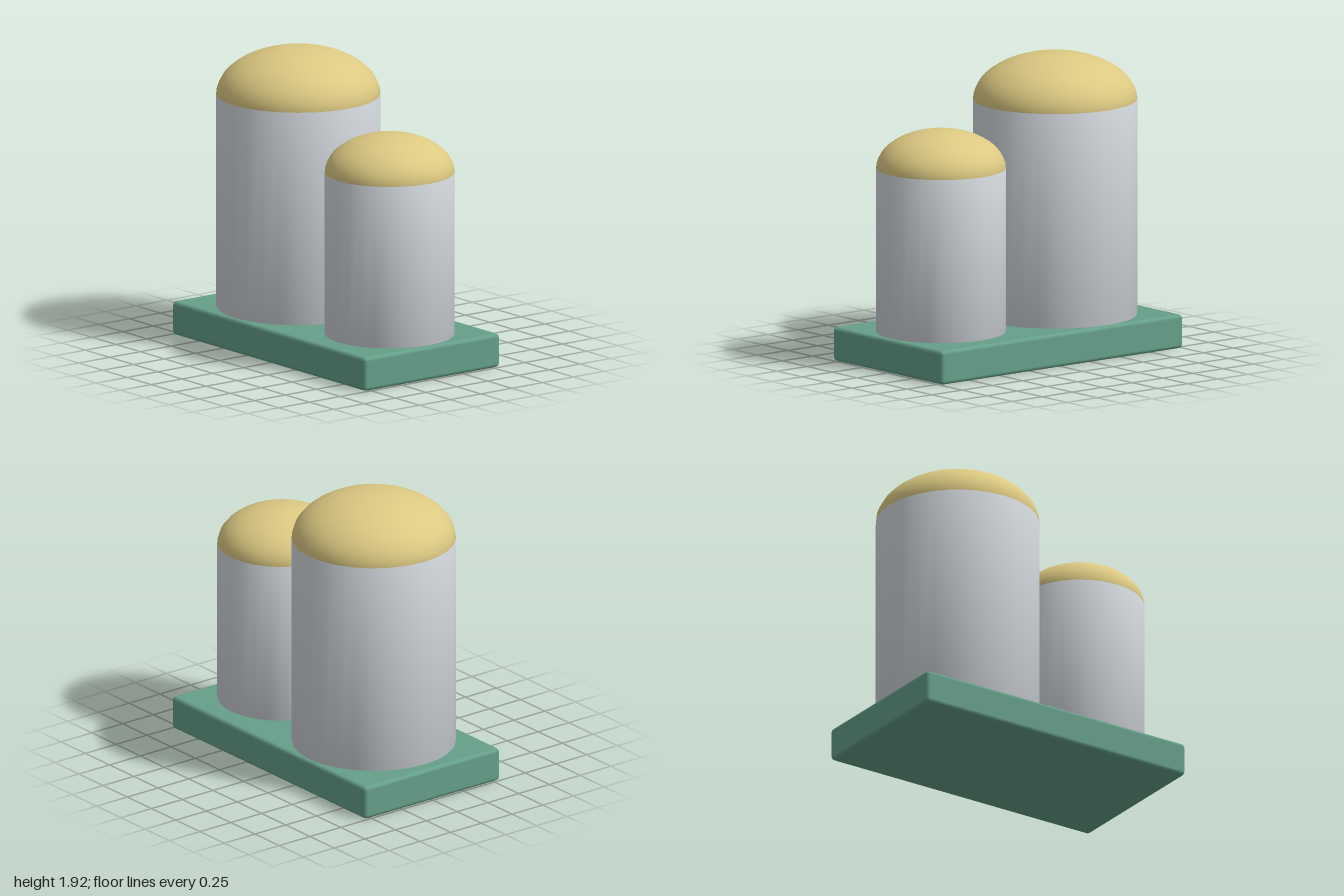
import * as THREE from 'three';
import { mergeVertices } from 'three/addons/utils/BufferGeometryUtils.js';
import { RoundedBoxGeometry } from 'three/addons/geometries/RoundedBoxGeometry.js';

const SIDES = 28;
const BASE_TOP = 0.22;

const material = (name, color) => {
  const m = new THREE.MeshStandardMaterial({ color });
  m.name = name;
  return m;
};

// Closed cylinder with normals shared across its rims, for a soft look
function softCylinder(radius, height) {
  let g = new THREE.CylinderGeometry(radius, radius, height, SIDES);
  g.deleteAttribute('normal');
  g.deleteAttribute('uv');
  g = mergeVertices(g, 1e-4);
  g.computeVertexNormals();
  return g;
}

export function createModel() {
  const model = new THREE.Group();
  model.name = 'twinTanks';

  const green = material('green', 0x66a08a);
  const grey = material('lightGrey', 0xd0d5da);
  const sand = material('sand', 0xdcc982);

  // Rounded base slab
  const base = new THREE.Mesh(new RoundedBoxGeometry(2, BASE_TOP, 1.1, 2, 0.025), green);
  base.name = 'base';
  base.position.y = BASE_TOP / 2;
  model.add(base);

  // Upright tank: cylindrical body with a flattened dome
  function addTank(name, x, radius, bodyTop, domeTop) {
    const tank = new THREE.Group();
    tank.name = name;
    tank.position.x = x;

    const bottom = BASE_TOP - 0.01;
    const body = new THREE.Mesh(softCylinder(radius, bodyTop - bottom), grey);
    body.name = 'body';
    body.position.y = (bodyTop + bottom) / 2;

    const dome = new THREE.Mesh(
      new THREE.SphereGeometry(radius, SIDES, 12, Math.PI / 2, Math.PI * 2, 0, Math.PI / 2), sand);
    dome.name = 'dome';
    dome.position.y = bodyTop;
    dome.scale.y = (domeTop - bodyTop) / radius;

    tank.add(body, dome);
    model.add(tank);
  }

  addTank('largeTank', -0.39, 0.525, 1.615, 1.92);
  addTank('smallTank', 0.555, 0.415, 1.28, 1.53);

  return model;
}
